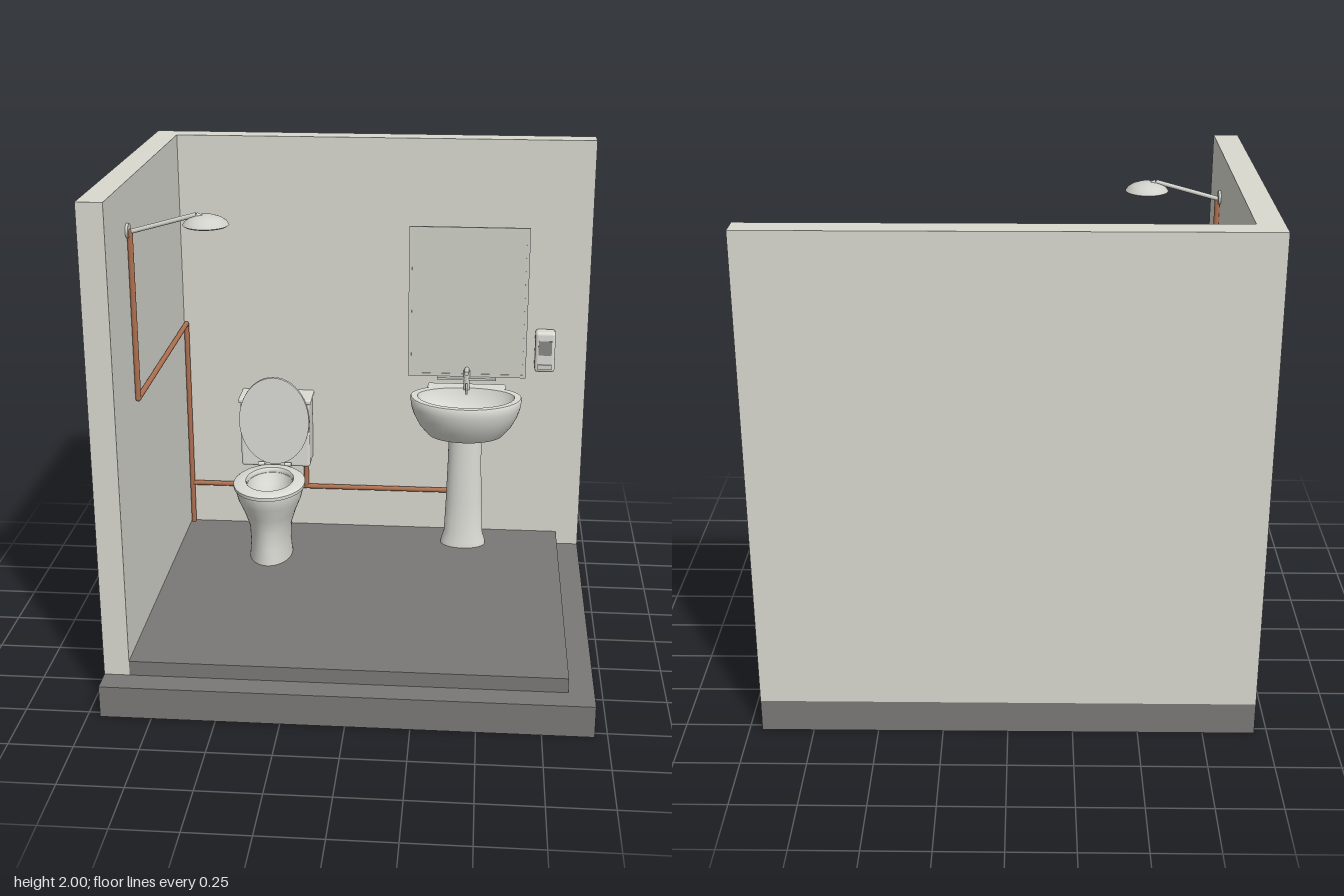
import * as THREE from 'three';
import { toCreasedNormals } from 'three/addons/utils/BufferGeometryUtils.js';
import { RoundedBoxGeometry } from 'three/addons/geometries/RoundedBoxGeometry.js';

const material = (name, color) => {
  const m = new THREE.MeshStandardMaterial({ color });
  m.name = name;
  return m;
};

export function createModel() {
  const wall = material('wall plaster', 0xd9d9d0);
  const floor = material('floor grey', 0x7b7977);
  const ceramic = material('ceramic white', 0xdcdcd6);
  const metal = material('fitting metal', 0xd2d2cc);
  const copper = material('copper', 0xae7050);
  const glass = material('mirror glass', 0xcfd1c7);
  const dark = material('dispenser window', 0x888886);

  const room = new THREE.Group();
  room.name = 'bathroom';
  const group = (name) => {
    const g = new THREE.Group();
    g.name = name;
    room.add(g);
    return g;
  };
  const add = (parent, name, geo, mat) => {
    const m = new THREE.Mesh(geo, mat);
    m.name = name;
    parent.add(m);
    return m;
  };
  // Box given by its limits on each axis; r rounds the edges
  const box = (parent, name, mat, x0, x1, y0, y1, z0, z1, r = 0) => {
    const s = [x1 - x0, y1 - y0, z1 - z0];
    const geo = r ? new RoundedBoxGeometry(...s, 3, r) : new THREE.BoxGeometry(...s);
    const m = add(parent, name, geo, mat);
    m.position.set((x0 + x1) / 2, (y0 + y1) / 2, (z0 + z1) / 2);
    return m;
  };
  // Round bar between two points
  const rod = (parent, name, mat, a, b, r) => {
    const p = new THREE.Vector3(...a), q = new THREE.Vector3(...b);
    const dir = q.clone().sub(p);
    const m = add(parent, name, new THREE.CylinderGeometry(r, r, dir.length(), 16), mat);
    m.position.copy(p).add(q).multiplyScalar(0.5);
    m.quaternion.setFromUnitVectors(new THREE.Vector3(0, 1, 0), dir.normalize());
    return m;
  };
  // Loft through oval rings: [y, halfWidth, centreZ, depthFront, depthBack]
  const loft = (parent, name, mat, x, rings, n = 48) => {
    const pos = [], idx = [];
    rings.forEach(([y, rx, cz, rf, rb = rf], i) => {
      for (let j = 0; j < n; j++) {
        const t = (j / n) * Math.PI * 2, s = Math.sin(t);
        pos.push(x + rx * Math.cos(t), y, cz + s * (s > 0 ? rf : rb));
        if (i === rings.length - 1) continue;
        const a = i * n + j, b = i * n + (j + 1) % n;
        idx.push(a, a + n, b, b, a + n, b + n);
      }
    });
    const geo = new THREE.BufferGeometry();
    geo.setAttribute('position', new THREE.Float32BufferAttribute(pos, 3));
    geo.setIndex(idx);
    return add(parent, name, toCreasedNormals(geo, 0.65), mat);
  };

  // Room shell
  const shell = group('roomShell');
  box(shell, 'base', floor, -0.95, 0.95, 0, 0.13, -0.78, 0.78);
  box(shell, 'floorSlab', floor, -0.85, 0.85, 0.13, 0.173, -0.68, 0.68);
  box(shell, 'floorCovering', floor, -0.85, 0.85, 0.173, 0.19, -0.68, 0.68);
  box(shell, 'backWall', wall, -0.95, 0.95, 0.13, 2, -0.78, -0.68);
  box(shell, 'sideWall', wall, -0.95, -0.85, 0.13, 2, -0.68, 0.68);

  // Copper pipes, with ball joints at the bends
  const pipes = group('waterPipes');
  const px = -0.838, pz = -0.668, r = 0.011;
  [
    [[px, 0.19, pz], [px, 1.155, pz]],
    [[px, 1.155, pz], [px, 1.155, 0.342]],
    [[px, 1.155, 0.342], [px, 1.815, 0.342]],
    [[px, 0.385, pz], [0.42, 0.385, pz]],
    [[-0.305, 0.385, pz], [-0.305, 0.55, pz]],
    [[0.42, 0.385, pz], [0.42, 0.985, pz]],
  ].forEach(([a, b]) => {
    rod(pipes, 'pipe', copper, a, b, r);
    add(pipes, 'pipeJoint', new THREE.SphereGeometry(r, 12, 8), copper).position.set(...b);
  });

  // Shower
  const shower = group('shower');
  rod(shower, 'wallFlange', metal, [-0.85, 1.82, 0.34], [-0.84, 1.82, 0.34], 0.028);
  rod(shower, 'showerArm', metal, [-0.84, 1.815, 0.34], [-0.585, 1.885, 0.34], 0.009);
  rod(shower, 'showerNeck', metal, [-0.585, 1.885, 0.34], [-0.55, 1.87, 0.34], 0.009);
  const head = [[0.001, 0], [0.08, 0], [0.087, 0.005], [0.078, 0.018], [0.06, 0.03], [0.035, 0.039], [0.001, 0.042]];
  loft(shower, 'showerHead', metal, -0.55, head.map(([q, y]) => [1.843 + y, q, 0.34, q]));

  // Toilet
  const toilet = group('toilet');
  const tx = -0.43;
  loft(toilet, 'toiletBowl', ceramic, tx, [
    [0.19, 0.001, -0.36, 0.001], [0.19, 0.094, -0.36, 0.15], [0.26, 0.088, -0.36, 0.148],
    [0.34, 0.092, -0.36, 0.148], [0.41, 0.114, -0.35, 0.158], [0.47, 0.138, -0.34, 0.176],
    [0.52, 0.15, -0.335, 0.187], [0.525, 0.15, -0.335, 0.187],
    [0.525, 0.1, -0.345, 0.134], [0.48, 0.088, -0.345, 0.115], [0.42, 0.055, -0.348, 0.072],
    [0.38, 0.05, -0.35, 0.065], [0.37, 0.001, -0.35, 0.001],
  ]);
  loft(toilet, 'toiletSeat', ceramic, tx, [
    [0.527, 0.1, -0.345, 0.132], [0.527, 0.156, -0.333, 0.194], [0.542, 0.157, -0.333, 0.195],
    [0.548, 0.148, -0.333, 0.186], [0.548, 0.105, -0.345, 0.138], [0.54, 0.1, -0.345, 0.132],
    [0.527, 0.1, -0.345, 0.132],
  ]);
  box(toilet, 'cistern', ceramic, -0.585, -0.273, 0.53, 0.83, -0.68, -0.54, 0.012);
  box(toilet, 'cisternLid', ceramic, -0.592, -0.267, 0.83, 0.853, -0.682, -0.531, 0.008);
  rod(toilet, 'flushButton', metal, [tx, 0.85, -0.61], [tx, 0.858, -0.61], 0.02);
  const lid = rod(toilet, 'raisedLid', ceramic, [tx, 0.755, -0.533], [tx, 0.755, -0.517], 1);
  lid.geometry.dispose();
  lid.geometry = new THREE.CylinderGeometry(0.157, 0.157, 0.016, 48);
  lid.geometry.scale(1, 1, 1.3);
  for (const s of [-1, 1]) {
    rod(toilet, 'seatHinge', ceramic, [tx + s * 0.06 - 0.015, 0.55, -0.518], [tx + s * 0.06 + 0.015, 0.55, -0.518], 0.009);
  }

  // Washbasin on a pedestal
  const sink = group('washbasin');
  const sx = 0.423;
  loft(sink, 'basin', ceramic, sx, [
    [0.735, 0.001, -0.49, 0.001], [0.735, 0.165, -0.49, 0.125, 0.1], [0.78, 0.203, -0.49, 0.16, 0.118],
    [0.83, 0.228, -0.487, 0.18, 0.13], [0.87, 0.24, -0.485, 0.19, 0.14], [0.905, 0.244, -0.485, 0.192, 0.143],
    [0.912, 0.24, -0.485, 0.188, 0.14], [0.912, 0.212, -0.48, 0.155, 0.11], [0.89, 0.205, -0.48, 0.148, 0.105],
    [0.84, 0.17, -0.478, 0.122, 0.09], [0.8, 0.11, -0.476, 0.08, 0.06], [0.785, 0.001, -0.475, 0.001],
  ]);
  box(sink, 'basinLedge', ceramic, 0.25, 0.597, 0.87, 0.912, -0.655, -0.59, 0.008);
  rod(sink, 'drain', metal, [sx, 0.784, -0.475], [sx, 0.79, -0.475], 0.012);
  loft(sink, 'pedestal', ceramic, sx, [
    [0.19, 0.001, -0.533, 0.001], [0.19, 0.101, -0.533, 0.07], [0.21, 0.098, -0.533, 0.068],
    [0.25, 0.086, -0.533, 0.061], [0.4, 0.08, -0.533, 0.058], [0.6, 0.074, -0.533, 0.055],
    [0.74, 0.073, -0.533, 0.055], [0.74, 0.001, -0.533, 0.001],
  ]);
  box(sink, 'pipeCover', ceramic, 0.385, 0.455, 0.19, 0.6, -0.68, -0.64);

  // Tap
  const tap = group('tap');
  rod(tap, 'tapSpout', metal, [sx, 0.995, -0.675], [sx, 0.995, -0.535], 0.01);
  rod(tap, 'tapColumn', metal, [sx, 0.905, -0.59], [sx, 0.995, -0.59], 0.014);
  rod(tap, 'tapLever', metal, [sx, 0.905, -0.523], [sx, 0.957, -0.523], 0.005);

  // Mirror with thin frame and shelf
  const mirror = group('mirror');
  const mx0 = 0.162, mx1 = 0.682, my0 = 0.96, my1 = 1.635, f = 0.014;
  box(mirror, 'mirrorGlass', glass, mx0 + f, mx1 - f, my0 + f, my1 - f, -0.609, -0.603);
  for (const x of [mx0, mx1 - f]) box(mirror, 'frameSide', metal, x, x + f, my0, my1, -0.611, -0.6);
  for (const y of [my0, my1 - f]) box(mirror, 'frameRail', metal, mx0 + f, mx1 - f, y, y + f, -0.611, -0.6);
  box(mirror, 'mirrorShelf', metal, 0.293, 0.553, 0.952, 0.961, -0.68, -0.578);

  // Soap dispenser
  const soap = group('soapDispenser');
  box(soap, 'dispenserBody', ceramic, 0.72, 0.808, 0.985, 1.168, -0.68, -0.61, 0.014);
  box(soap, 'dispenserWindow', dark, 0.735, 0.793, 1.065, 1.13, -0.612, -0.606);
  box(soap, 'dispenserButton', metal, 0.733, 0.795, 1.0, 1.022, -0.612, -0.603);

  return room;
}
